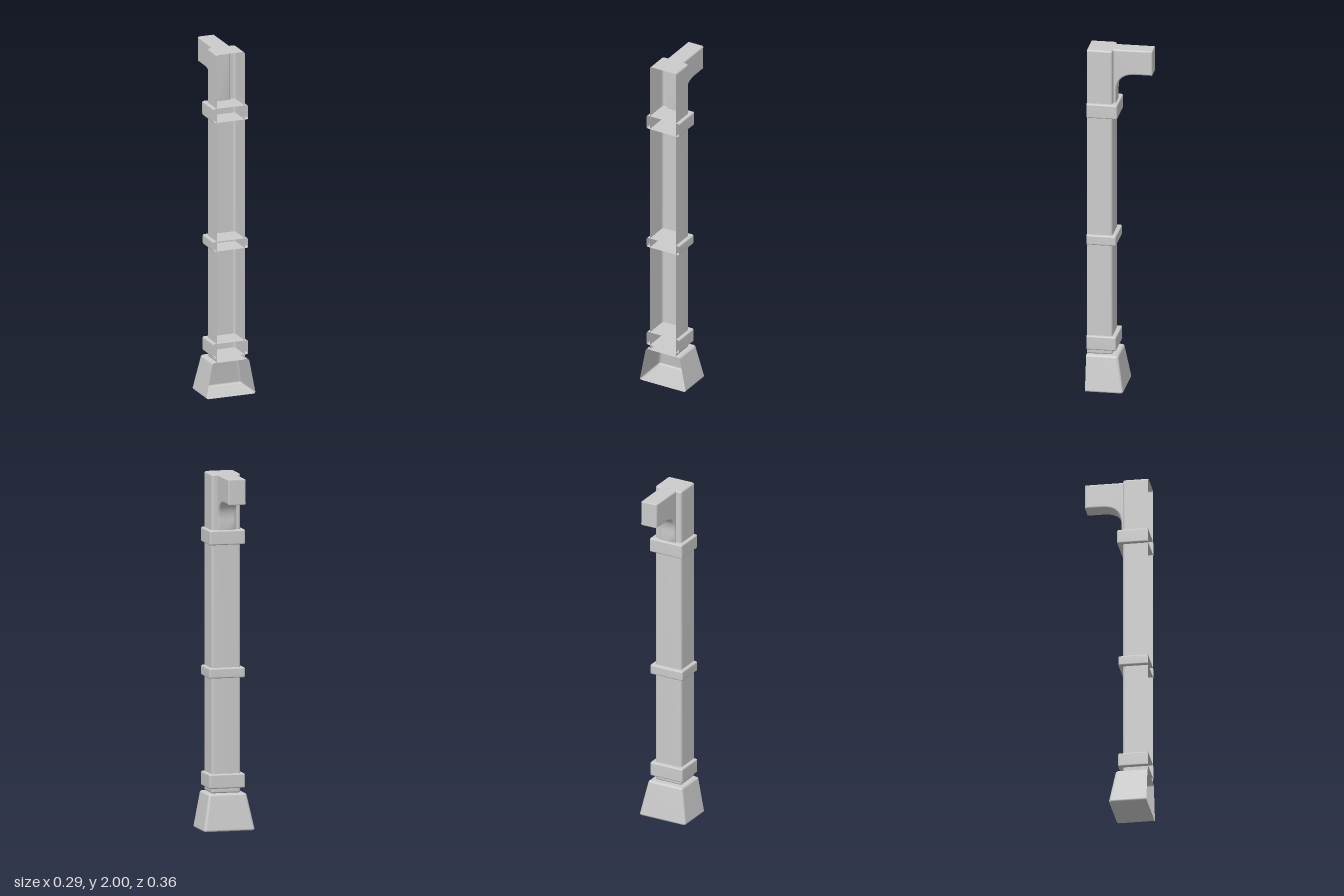
import * as THREE from 'three';
import { mergeVertices } from 'three/addons/utils/BufferGeometryUtils.js';

const FRONT = 0.18; // open plane shared by every shell
const STEPS = 4;
const material = new THREE.MeshStandardMaterial({ color: 0xcccccc, side: THREE.DoubleSide });

// U-shaped cross-section, open at the front, with rounded back corners
function section(halfWidth, back, radius, y) {
  const points = [[halfWidth, y, FRONT]];
  for (const side of [1, -1]) {
    for (let i = 0; i <= STEPS; i++) {
      const t = ((side > 0 ? i : STEPS - i) / STEPS) * Math.PI / 2;
      points.push([
        side * (halfWidth - radius + radius * Math.cos(t)),
        y,
        back + radius - radius * Math.sin(t),
      ]);
    }
  }
  points.push([-halfWidth, y, FRONT]);
  return points;
}

// Box shell without a front face; edges are rounded and it may taper upward
function shell(name, y0, y1, bottom, top, bevel) {
  const levels = [];
  for (let i = 0; i <= STEPS; i++) {
    const t = (i / STEPS) * Math.PI / 2;
    levels.push([y0 + bevel * (1 - Math.cos(t)), bevel * (1 - Math.sin(t))]);
  }
  for (let i = STEPS; i >= 0; i--) levels.push([y0 + y1 - levels[i][0], levels[i][1]]);

  const rings = levels.map(([y, inset]) => {
    const f = (y - y0) / (y1 - y0);
    const halfWidth = THREE.MathUtils.lerp(bottom.halfWidth, top.halfWidth, f);
    const back = THREE.MathUtils.lerp(bottom.back, top.back, f);
    return section(halfWidth - inset, back + inset, bevel * 1.3 - inset, y);
  });

  const n = rings[0].length;
  const positions = rings.flat(2);
  const low = n * rings.length;
  positions.push(0, y0, FRONT, 0, y1, FRONT);
  const index = [];
  for (let j = 0; j < n - 1; j++) {
    for (let r = 0; r < rings.length - 1; r++) {
      const a = r * n + j;
      const b = a + n;
      index.push(a, a + 1, b, a + 1, b + 1, b);
    }
    const last = (rings.length - 1) * n + j;
    index.push(low, j + 1, j, low + 1, last, last + 1);
  }
  const geometry = new THREE.BufferGeometry();
  geometry.setAttribute('position', new THREE.Float32BufferAttribute(positions, 3));
  geometry.setIndex(index);
  geometry.computeVertexNormals();
  const mesh = new THREE.Mesh(geometry, material);
  mesh.name = name;
  return mesh;
}

// Arm reaching backward with a curved underside, drawn in profile and extruded across x
function bracket() {
  const r = 0.006;
  const bevel = 0.01;
  const width = 0.102;
  const shape = new THREE.Shape();
  shape.moveTo(-0.052, 1.64);
  shape.lineTo(-0.022, 1.64);
  shape.lineTo(-0.022, 1.745);
  shape.bezierCurveTo(-0.022, 1.82, 0.015, 1.855, 0.09, 1.855);
  shape.lineTo(0.183 - r, 1.855);
  shape.quadraticCurveTo(0.183, 1.855, 0.183, 1.855 + r);
  shape.lineTo(0.183, 2 - r);
  shape.quadraticCurveTo(0.183, 2, 0.183 - r, 2);
  shape.lineTo(-0.052 + r, 2);
  shape.quadraticCurveTo(-0.052, 2, -0.052, 2 - r);
  shape.closePath();

  let geometry = new THREE.ExtrudeGeometry(shape, {
    depth: width - 2 * bevel,
    bevelSize: bevel,
    bevelThickness: bevel,
    bevelOffset: -bevel,
    bevelSegments: 4,
    curveSegments: 14,
  });
  geometry.translate(0, 0, bevel - width / 2);
  geometry.rotateY(Math.PI / 2);
  // Weld so that the rounded edges shade smoothly
  geometry.deleteAttribute('normal');
  geometry.deleteAttribute('uv');
  geometry = mergeVertices(geometry, 1e-5);
  geometry.computeVertexNormals();
  const mesh = new THREE.Mesh(geometry, material);
  mesh.name = 'bracketArm';
  return mesh;
}

export function createModel() {
  const group = new THREE.Group();
  group.name = 'wallPost';

  // Flared foot
  group.add(shell('foot', 0, 0.207, { halfWidth: 0.149, back: -0.035 }, { halfWidth: 0.109, back: 0 }, 0.012));

  // Tall shaft
  const shaft = { halfWidth: 0.084, back: 0.036 };
  group.add(shell('shaft', 0.205, 2, shaft, shaft, 0.011));

  // Collars around the shaft
  const collars = [
    ['lowerCollar', 0.235, 0.316, 0.012],
    ['middleCollar', 0.855, 0.912, 0.013],
    ['upperCollar', 1.605, 1.687, 0.006],
  ];
  for (const [name, y0, y1, back] of collars) {
    const size = { halfWidth: 0.104, back };
    group.add(shell(name, y0, y1, size, size, 0.008));
  }

  group.add(bracket());
  return group;
}
